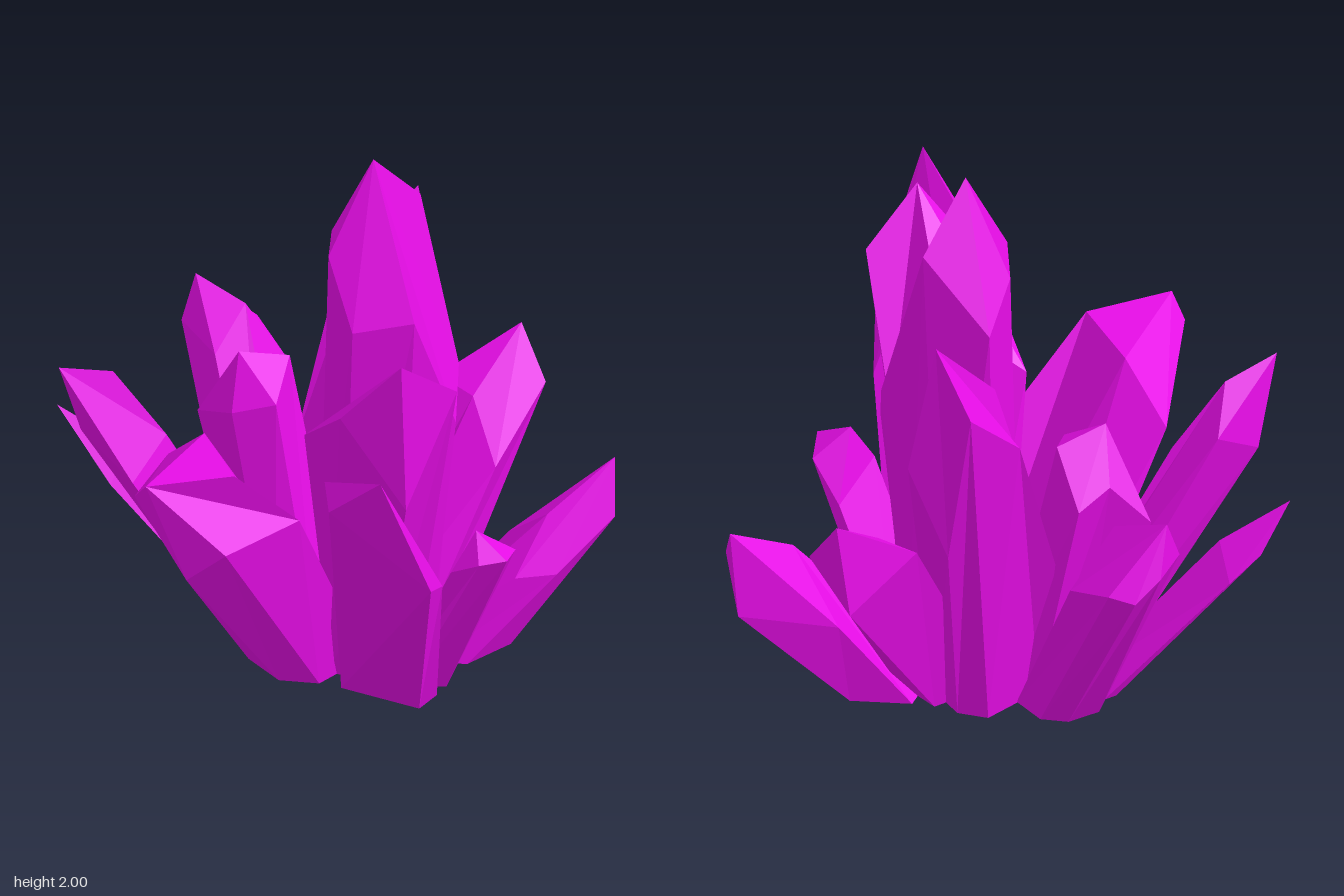
import * as THREE from 'three';

const UP = new THREE.Vector3(0, 1, 0);

// One crystal: a round foot on the ground [x, z, radius], a jagged shoulder ring and a tip.
function crystalGeometry({ foot, tip, ring }) {
  const base = new THREE.Vector3(foot[0], 0, foot[1]);
  const point = new THREE.Vector3(...tip);
  const shoulder = ring.map((p) => new THREE.Vector3(...p));
  const mid = new THREE.Vector3();
  shoulder.forEach((p) => mid.addScaledVector(p, 1 / shoulder.length));

  // order the shoulder corners around the crystal's own axis
  const axis = mid.clone().sub(base).normalize();
  const upright = new THREE.Quaternion().setFromUnitVectors(axis, UP);
  const sides = shoulder.map((high) => {
    const local = high.clone().sub(mid).applyQuaternion(upright);
    const angle = Math.atan2(local.z, local.x);
    const low = new THREE.Vector3(Math.cos(angle), 0, Math.sin(angle)).multiplyScalar(foot[2]).add(base);
    return { angle, low, high };
  }).sort((a, b) => a.angle - b.angle);

  const corners = [];
  sides.forEach((a, i) => {
    const b = sides[(i + 1) % sides.length];
    corners.push(a.low, a.high, b.low, b.low, a.high, b.high); // shaft
    corners.push(a.high, point, b.high);                       // point
    corners.push(base, a.low, b.low);                          // foot
  });
  const geometry = new THREE.BufferGeometry().setFromPoints(corners);
  geometry.computeVertexNormals();
  return geometry;
}

const CRYSTALS = {
  mainCrystal: {
    foot: [0.13, 0.13, 0.21], tip: [0.1, 2, 0.15],
    ring: [[0.31, 1.77, 0.2], [0.28, 1.5, -0.05], [0.1, 1.64, -0.03], [-0.07, 1.66, 0.08], [-0.12, 1.42, 0.22], [0.02, 1.45, 0.385], [0.19, 0.98, 0.44], [0.29, 1.15, 0.38]],
  },
  frontLeaningCrystal: {
    foot: [0, 0.2, 0.15], tip: [-0.38, 1.56, 0.62],
    ring: [[-0.16, 1.38, 0.7], [-0.44, 1.3, 0.4], [-0.38, 0.98, 0.64], [-0.24, 1.02, 0.1], [-0.13, 1.22, 0.38], [-0.02, 0.85, 0.52]],
  },
  frontRightSpreadingCrystal: {
    foot: [-0.09, 0.36, 0.17], tip: [-0.82, 1.39, 0.85],
    ring: [[-0.63, 0.88, 0.93], [-0.37, 0.72, 0.79], [-0.65, 1.25, 0.71], [-0.74, 1.13, 0.57], [-0.6, 1.14, 0.45], [-0.4, 0.78, 0.53]],
  },
  rightSideCrystal: {
    foot: [-0.07, -0.01, 0.21], tip: [-0.89, 1.06, -0.11],
    ring: [[-0.86, 0.98, -0.18], [-0.8, 0.67, 0], [-0.76, 0.8, 0.14], [-0.64, 1.05, 0.09], [-0.42, 0.8, 0.21], [-0.46, 1.04, -0.17], [-0.4, 0.85, -0.37]],
  },
  backRightCrystal: {
    foot: [-0.06, -0.2, 0.13], tip: [-0.58, 1.17, -0.71],
    ring: [[-0.45, 0.85, -0.71], [-0.29, 0.95, -0.64], [-0.41, 1.11, -0.6], [-0.5, 0.75, -0.45], [-0.3, 0.85, -0.45]],
  },
  leftTallCrystal: {
    foot: [0.23, -0.01, 0.18], tip: [0.57, 1.6, 0],
    ring: [[0.62, 1.38, -0.17], [0.33, 1.33, -0.1], [0.59, 1.08, 0.1], [0.43, 1.1, 0.14], [0.4, 1.17, -0.24], [0.22, 0.6, -0.28], [0.57, 0.75, -0.05]],
  },
  backLeftCrystal: {
    foot: [0.14, -0.26, 0.16], tip: [0.38, 1.03, -0.82],
    ring: [[0.31, 0.87, -0.83], [0.46, 0.85, -0.84], [0.55, 0.78, -0.79], [0.58, 0.8, -0.7], [0.5, 0.72, -0.5], [0.4, 0.97, -0.62], [0.22, 0.85, -0.62]],
  },
  backSliverCrystal: {
    foot: [0.02, -0.33, 0.09], tip: [-0.29, 0.79, -0.93],
    ring: [[-0.19, 0.6, -0.87], [-0.11, 0.5, -0.79], [-0.26, 0.52, -0.72], [-0.16, 0.63, -0.72]],
  },
  leftSideCrystal: {
    foot: [0.25, 0.14, 0.17], tip: [0.88, 0.96, 0.22],
    ring: [[0.89, 0.62, 0.16], [0.65, 0.79, 0.03], [0.845, 0.78, 0.35], [0.52, 0.6, 0.37], [0.62, 0.78, 0.2]],
  },
  frontLeftCrystal: {
    foot: [0.33, 0.34, 0.2], tip: [0.72, 0.68, 0.74],
    ring: [[0.75, 0.37, 0.69], [0.61, 0.52, 0.82], [0.4, 0.35, 0.72], [0.32, 0.33, 0.6], [0.47, 0.53, 0.63], [0.57, 0.32, 0.39]],
  },
  frontSmallCrystal: {
    foot: [0.07, 0.4, 0.12], tip: [-0.02, 0.73, 0.68],
    ring: [[-0.1, 0.65, 0.75], [0.09, 0.63, 0.77], [0.13, 0.5, 0.64], [-0.03, 0.66, 0.82], [-0.1, 0.58, 0.63]],
  },
  backSmallCrystal: {
    foot: [0.06, -0.16, 0.18], tip: [-0.01, 1.08, -0.35],
    ring: [[0.1, 0.9, -0.43], [0.23, 0.85, -0.38], [0.02, 0.75, -0.55], [-0.12, 0.9, -0.3], [0.14, 1.03, -0.24], [-0.05, 0.95, -0.16]],
  },
};

export function createModel() {
  const group = new THREE.Group();
  group.name = 'crystalCluster';
  const material = new THREE.MeshStandardMaterial({ color: 0xe60de6, flatShading: true });
  for (const [name, spec] of Object.entries(CRYSTALS)) {
    const mesh = new THREE.Mesh(crystalGeometry(spec), material);
    mesh.name = name;
    group.add(mesh);
  }
  return group;
}
